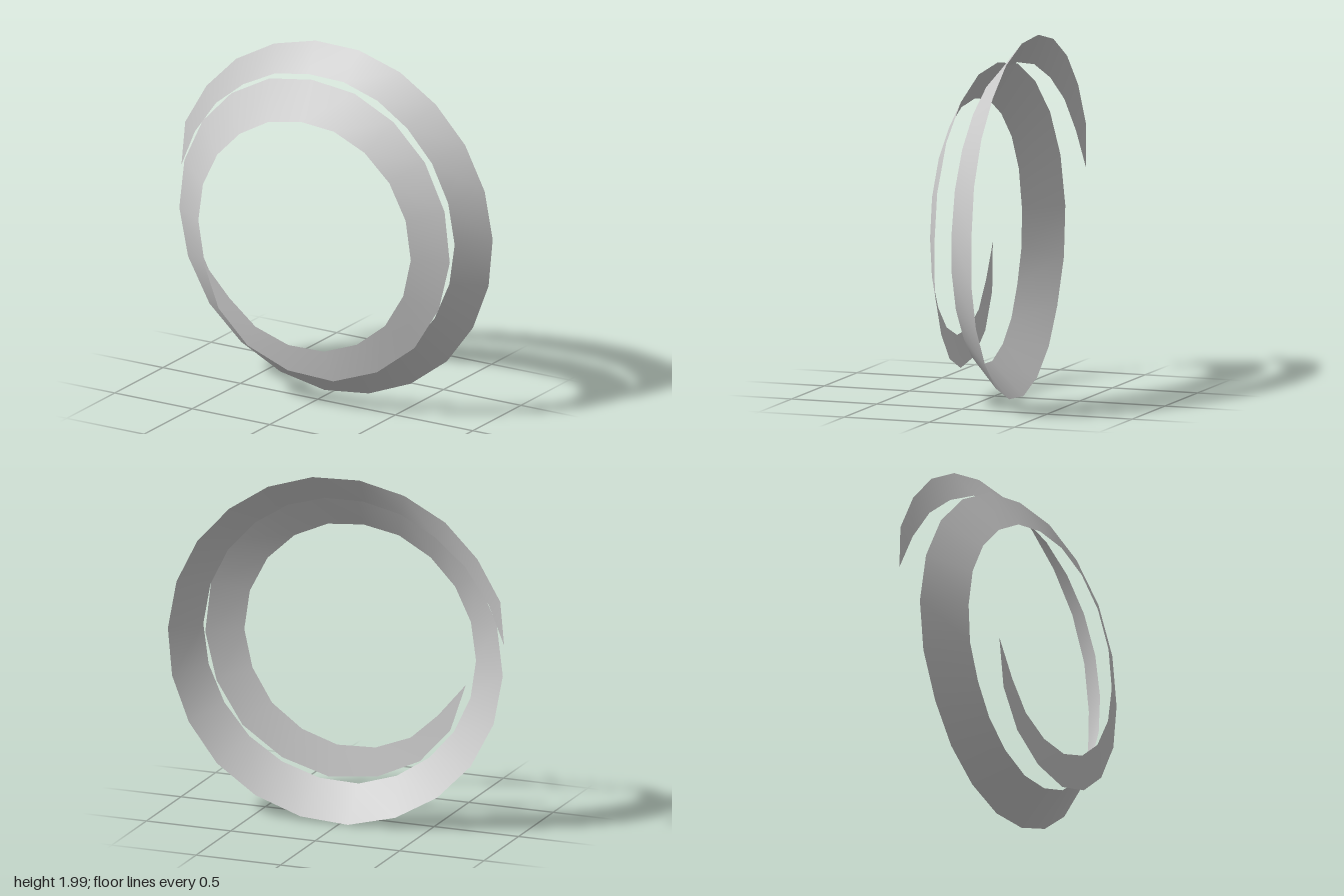
import * as THREE from 'three';

// Key stations along the spiral:
// [station, angle in degrees, back-edge radius, front-edge radius, back-edge z, front-edge z]
const KEYS = [
  [0, 171.9, 0.99, 0.99, -0.16, -0.16],
  [1, 157.9, 1.036, 0.95, -0.167, -0.14],
  [3, 128.3, 1.032, 0.89, -0.18, -0.115],
  [5, 98, 1.01, 0.853, -0.203, -0.088],
  [8, 50.8, 0.981, 0.838, -0.228, -0.077],
  [11, 2.3, 0.98, 0.84, -0.24, -0.07],
  [14, -45.4, 0.997, 0.825, -0.213, -0.04],
  [17, -92.9, 0.996, 0.81, -0.15, 0.03],
  [20, -141.3, 0.96, 0.745, -0.08, 0.09],
  [22, -175.7, 0.933, 0.705, -0.058, 0.11],
  [25, -229.6, 0.88, 0.66, -0.02, 0.125],
  [27, -267.3, 0.851, 0.646, -0.003, 0.126],
  [30, -323.9, 0.866, 0.665, 0.015, 0.122],
  [32, -362.6, 0.866, 0.675, 0.022, 0.12],
  [34, -400.3, 0.866, 0.676, 0.06, 0.133],
  [36, -437.6, 0.84, 0.66, 0.13, 0.166],
  [38, -476.2, 0.769, 0.631, 0.185, 0.2],
  [39, -495.6, 0.714, 0.608, 0.21, 0.217],
  [40, -517.9, 0.637, 0.637, 0.237, 0.237],
];
const STATIONS = 40;

// Linear blend of the key rows at a station
function sample(s) {
  let k = 0;
  while (k < KEYS.length - 2 && KEYS[k + 1][0] < s) k++;
  const a = KEYS[k], b = KEYS[k + 1];
  const t = (s - a[0]) / (b[0] - a[0]);
  return a.map((v, i) => THREE.MathUtils.lerp(v, b[i], t));
}

// Flared ribbon with pointed ends, winding about two turns
function ribbonGeometry() {
  const positions = [], index = [];
  for (let s = 0; s <= STATIONS; s++) {
    const [, degrees, backR, frontR, backZ, frontZ] = sample(s);
    const a = THREE.MathUtils.degToRad(degrees);
    for (const [r, z] of [[backR, backZ], [frontR, frontZ]]) {
      positions.push(r * Math.cos(a), 1 + r * Math.sin(a), z);
    }
  }
  for (let s = 0; s < STATIONS; s++) {
    const o = 2 * s, i = o + 1, o2 = o + 2, i2 = o + 3;
    if (s === 0) index.push(o, i2, o2);
    else if (s === STATIONS - 1) index.push(o, i, o2);
    else index.push(o, i, o2, i, i2, o2);
  }
  const geometry = new THREE.BufferGeometry();
  geometry.setAttribute('position', new THREE.Float32BufferAttribute(positions, 3));
  geometry.setIndex(index);
  geometry.computeVertexNormals();
  return geometry;
}

export function createModel() {
  const group = new THREE.Group();
  group.name = 'spiralRibbon';
  const material = new THREE.MeshStandardMaterial({ color: 0xcccccc, side: THREE.DoubleSide });
  const ribbon = new THREE.Mesh(ribbonGeometry(), material);
  ribbon.name = 'ribbon';
  group.add(ribbon);
  return group;
}
